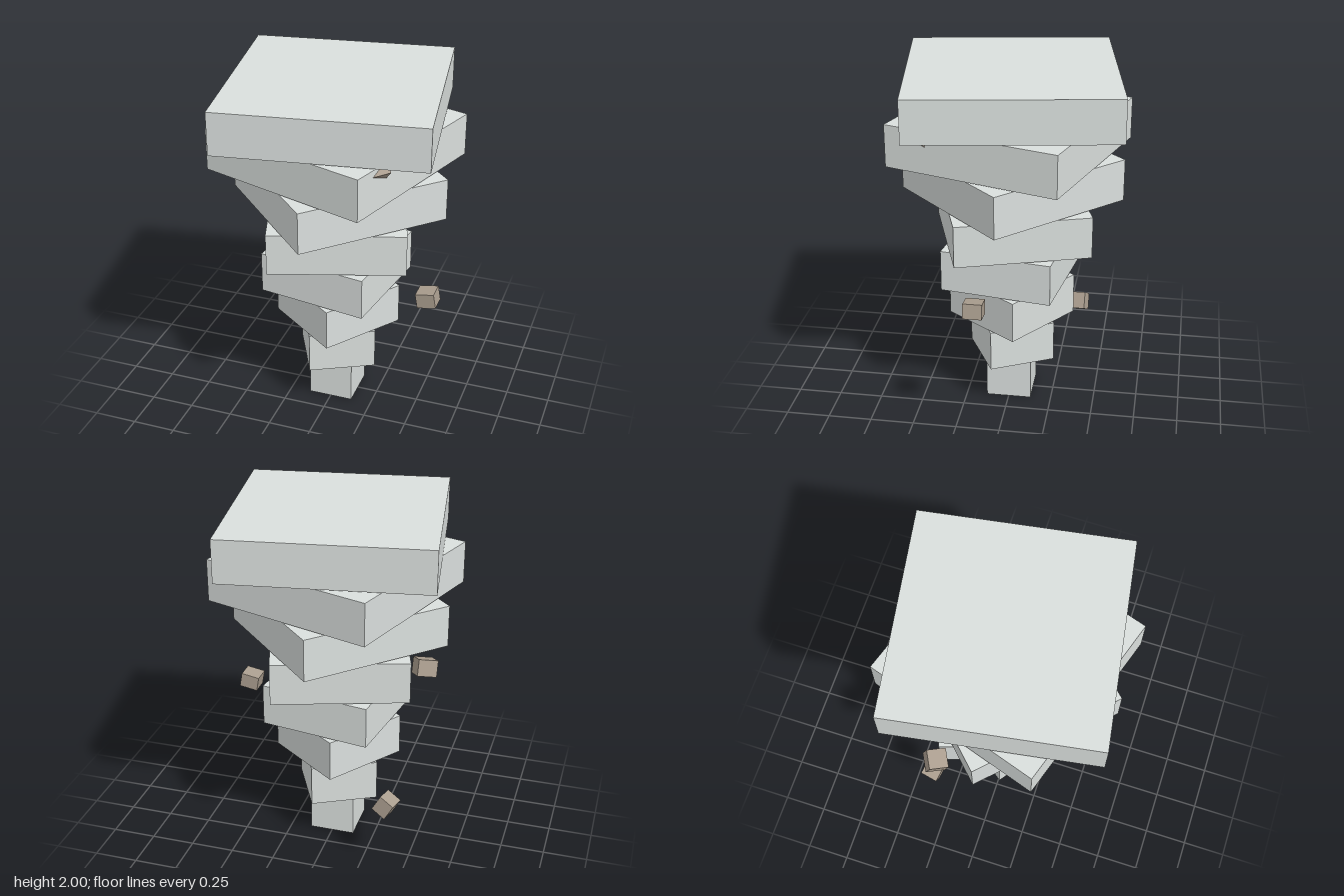
import * as THREE from 'three';

const rad = THREE.MathUtils.degToRad;

function makeMaterial(name, color) {
  const m = new THREE.MeshStandardMaterial({ color });
  m.name = name;
  return m;
}

function addBox(group, name, size, position, degrees, material) {
  const mesh = new THREE.Mesh(new THREE.BoxGeometry(...size), material);
  mesh.name = name;
  mesh.position.set(...position);
  mesh.rotation.set(...degrees.map(rad));
  group.add(mesh);
}

export function createModel() {
  const model = new THREE.Group();
  model.name = 'twistedTower';
  const stone = makeMaterial('pale grey stone', 0xdadfdd);
  const rubble = makeMaterial('brown rubble', 0xab9e8f);

  // Square slabs, each wider than the one below and turned a further 27 degrees
  const height = 0.24, pitch = 0.2514;
  for (let i = 0; i < 8; i++) {
    const side = 0.26 + 0.1255 * i;
    addBox(model, `slab${i + 1}`, [side, height, side],
      [0, height / 2 + pitch * i, 0], [0, 27 * i, 0], stone);
  }

  // Small tumbling chunks around the tower: size, position, rotation
  const chunks = [
    [[0.092, 0.1, 0.105], [-0.386, 0.4, -0.358], [6, -11, 30]],
    [[0.107, 0.085, 0.106], [0.574, 0.816, 0.122], [0, 0, 10]],
    [[0.107, 0.09, 0.107], [-0.553, 1.235, -0.237], [18, 29, 1]],
    [[0.108, 0.1, 0.105], [0.348, 1.709, 0.428], [-54, 28.6, 37]],
  ];
  chunks.forEach(([size, position, turn], i) =>
    addBox(model, `chunk${i + 1}`, size, position, turn, rubble));

  return model;
}
